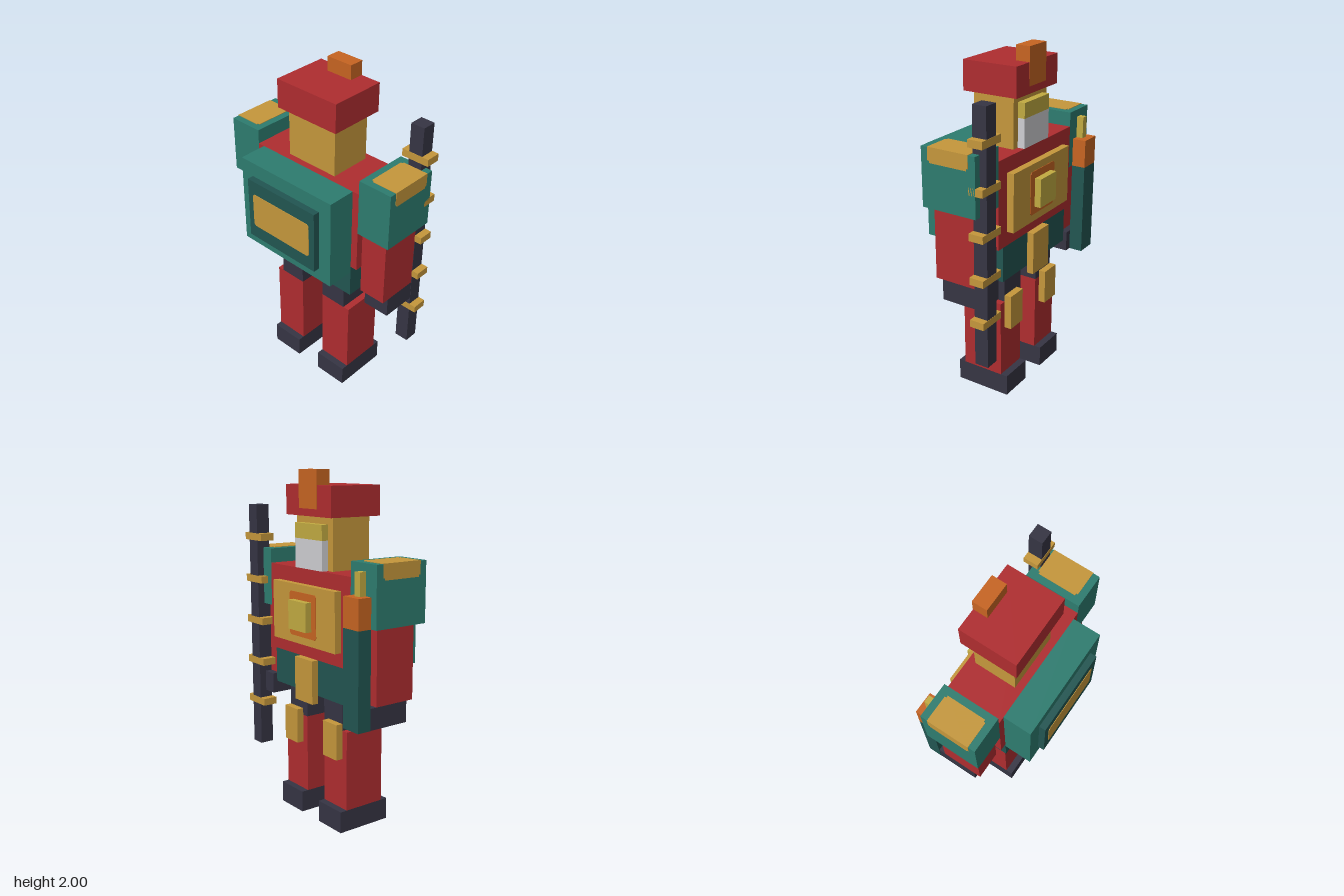
import * as THREE from 'three';

export function createModel() {
  const model = new THREE.Group();

  const paint = (name, color) => {
    const m = new THREE.MeshStandardMaterial({ color });
    m.name = name;
    return m;
  };
  const red = paint('red', 0xb02d30);
  const teal = paint('teal', 0x2e7d70);
  const darkTeal = paint('dark teal', 0x225652);
  const gold = paint('gold', 0xc6983c);
  const charcoal = paint('charcoal', 0x363544);
  const orange = paint('orange', 0xc86522);
  const yellow = paint('yellow', 0xc3ac42);
  const grey = paint('light grey', 0xd0d0d4);

  // Box given by its extents on each axis
  function box(name, mat, [x0, x1], [y0, y1], [z0, z1]) {
    const mesh = new THREE.Mesh(new THREE.BoxGeometry(x1 - x0, y1 - y0, z1 - z0), mat);
    mesh.position.set((x0 + x1) / 2, (y0 + y1) / 2, (z0 + z1) / 2);
    mesh.name = name;
    model.add(mesh);
    return mesh;
  }
  // The same box on the left (+x) and the right (-x)
  function pair(name, mat, [x0, x1], y, z) {
    box(name + 'Left', mat, [x0, x1], y, z);
    box(name + 'Right', mat, [-x1, -x0], y, z);
  }
  // Thin painted patch with clipped corners, facing +z
  function patch(name, mat, w, h, c = 0.012) {
    const x = w / 2, y = h / 2;
    const s = new THREE.Shape([
      [-x + c, -y], [x - c, -y], [x, -y + c], [x, y - c],
      [x - c, y], [-x + c, y], [-x, y - c], [-x, -y + c],
    ].map(([a, b]) => new THREE.Vector2(a, b)));
    const mesh = new THREE.Mesh(new THREE.ExtrudeGeometry(s, { depth: 0.003, bevelEnabled: false }), mat);
    mesh.name = name;
    model.add(mesh);
    return mesh;
  }

  const slim = [-0.188, 0.063];
  const deep = [-0.23, 0.104];

  // Legs
  pair('foot', charcoal, [0.083, 0.29], [0, 0.125], deep);
  pair('shin', red, [0.083, 0.29], [0.125, 0.585], slim);
  pair('thigh', charcoal, [0.083, 0.25], [0.585, 0.76], slim);
  pair('kneePad', gold, [0.125, 0.25], [0.42, 0.625], [-0.23, -0.188]);

  // Body
  box('waist', darkTeal, [-0.333, 0.333], [0.755, 0.96], deep);
  box('torso', red, [-0.375, 0.375], [0.96, 1.46], deep);
  box('beltPlate', gold, [-0.083, 0.083], [0.71, 0.96], [-0.271, -0.23]);
  box('chestPlate', gold, [-0.292, 0.292], [1.04, 1.375], [-0.271, -0.23]);
  const halo = patch('chestPatch', orange, 0.25, 0.25);
  halo.rotation.y = Math.PI;
  halo.position.set(0, 1.208, -0.271);
  box('chestStud', yellow, [-0.083, 0.083], [1.125, 1.29], [-0.312, -0.271]);

  // Pack on the other side of the body
  box('pack', teal, [-0.333, 0.333], [0.92, 1.46], [0.104, 0.271]);
  box('packPlate', darkTeal, [-0.25, 0.25], [1.0, 1.375], [0.271, 0.309]);
  patch('packPatch', gold, 0.425, 0.21).position.set(0, 1.188, 0.309);

  // Arms, with gold patches folding over the outer shoulder edge
  pair('arm', red, [0.375, 0.54], [0.79, 1.21], slim);
  pair('hand', charcoal, [0.375, 0.54], [0.67, 0.79], [-0.23, 0.021]);
  pair('shoulder', teal, [0.375, 0.583], [1.21, 1.543], deep);
  pair('shoulderPatchTop', gold, [0.417, 0.585], [1.543, 1.546], [-0.178, 0.053]);
  pair('shoulderPatchTopWide', gold, [0.43, 0.585], [1.543, 1.546], slim);
  pair('shoulderPatchSide', gold, [0.583, 0.585], [1.472, 1.544], slim);
  pair('shoulderPatchSideLow', gold, [0.583, 0.585], [1.46, 1.472], [-0.178, 0.053]);

  // Head
  box('head', gold, [-0.167, 0.167], [1.46, 1.75], slim);
  box('facePlate', grey, [-0.125, 0.125], [1.46, 1.625], [-0.23, -0.188]);
  box('browPlate', yellow, [-0.125, 0.125], [1.625, 1.71], [-0.23, -0.188]);
  box('cap', red, [-0.208, 0.208], [1.75, 1.917], deep);
  box('crest', orange, [-0.083, 0.083], [1.917, 2.0], [-0.232, -0.146]);
  box('crestFront', orange, [-0.083, 0.083], [1.79, 1.917], [-0.232, -0.229]);

  // Ringed staff beside the left hand
  box('staff', charcoal, [0.458, 0.542], [0.335, 1.793], [-0.271, -0.188]);
  for (let i = 0; i < 5; i++) {
    const y = 0.606 + i * 0.25;
    box('staffRing' + (i + 1), gold, [0.415, 0.583], [y - 0.021, y + 0.021], [-0.273, -0.186]);
  }

  // Torch-like tool beside the right hand
  box('toolHandle', darkTeal, [-0.542, -0.417], [0.67, 1.21], [-0.312, -0.23]);
  box('toolHead', orange, [-0.542, -0.417], [1.21, 1.375], [-0.312, -0.23]);
  box('toolTip', yellow, [-0.5, -0.458], [1.375, 1.5], [-0.271, -0.23]);

  return model;
}
